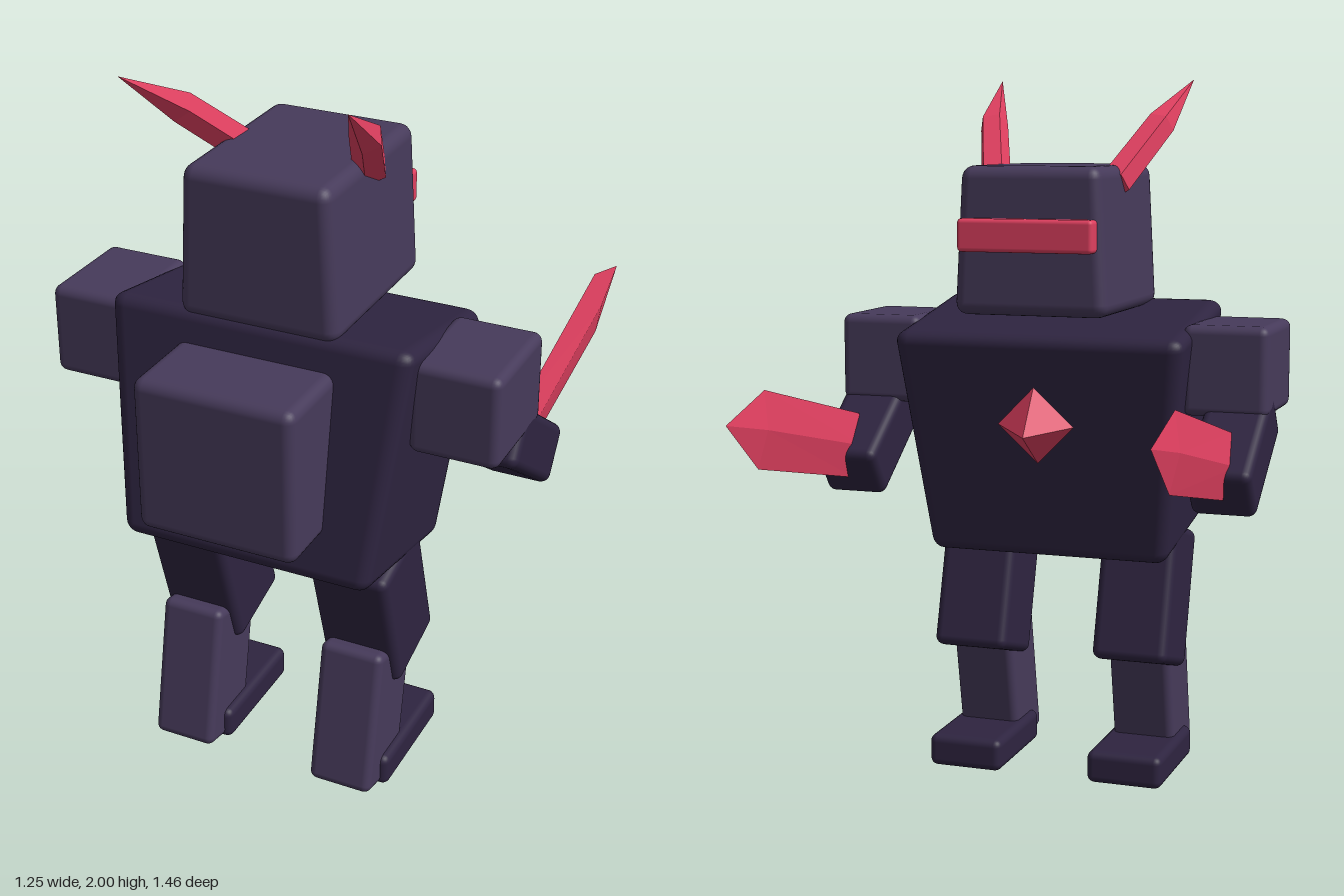
import * as THREE from 'three';
import { RoundedBoxGeometry } from 'three/addons/geometries/RoundedBoxGeometry.js';

const mat = (name, color, flat = false) => {
  const m = new THREE.MeshStandardMaterial({ color, flatShading: flat });
  m.name = name;
  return m;
};

// Rounded box whose width changes from 1 at the bottom to topScale at the top
function taperedBox(w, h, d, r, topScale = 1) {
  const g = new RoundedBoxGeometry(w, h, d, 3, r);
  const p = g.attributes.position, n = g.attributes.normal, v = new THREE.Vector3();
  const slope = (topScale - 1) / h;
  for (let i = 0; i < p.count; i++) {
    const x = p.getX(i), s = 1 + slope * (p.getY(i) + h / 2);
    v.set(n.getX(i) / s, n.getY(i) - n.getX(i) * x * slope / s, n.getZ(i)).normalize();
    p.setX(i, x * s);
    n.setXYZ(i, v.x, v.y, v.z);
  }
  return g;
}

// Faceted skin over rings of points; the last ring may shrink to a tip
function loft(rings, flip) {
  const pos = [], n = rings[0].length;
  const tri = (a, b, c) => (flip ? [a, c, b] : [a, b, c]).forEach(q => pos.push(q.x, q.y, q.z));
  for (let i = 0; i < rings.length - 1; i++) {
    for (let k = 0; k < n; k++) {
      const j = (k + 1) % n, lo = rings[i], hi = rings[i + 1];
      tri(lo[k], lo[j], hi[j]);
      if (hi[k].distanceTo(hi[j]) > 1e-5) tri(lo[k], hi[j], hi[k]);
    }
  }
  for (let k = 1; k < n - 1; k++) tri(rings[0][0], rings[0][k + 1], rings[0][k]);
  const g = new THREE.BufferGeometry();
  g.setAttribute('position', new THREE.Float32BufferAttribute(pos, 3));
  g.computeVertexNormals();
  return g;
}

// Blade with a diamond section: [y, z, half height in y, half height in z, half thickness]
function bladeGeometry(side) {
  const sections = [
    [0.965, 0.05, 0.09, 0.02, 0.02],
    [1.095, -0.537, 0.1, 0.022, 0.02],
    [1.132, -0.727, 0, 0, 0],
  ];
  const rings = sections.map(([y, z, hy, hz, t]) =>
    [[t, 0], [0, -1], [-t, 0], [0, 1]].map(([dx, s]) =>
      new THREE.Vector3(side * (0.545 + dx), y + s * hy, z + s * hz)));
  return loft(rings, side < 0);
}

// Bent horn: [x, y, z, radius]
function hornGeometry(side) {
  const sections = [
    [0.175, 1.71, 0.2, 0.045],
    [0.25, 1.87, 0.39, 0.042],
    [0.295, 2.0, 0.59, 0],
  ];
  const axis = new THREE.Vector3(0.12, 0.29, 0.39).normalize();
  const u = new THREE.Vector3(1, 0, 0).cross(axis).normalize();
  const v = axis.clone().cross(u);
  const rings = sections.map(([x, y, z, r]) =>
    [0, 1, 2, 3, 4].map(k => {
      const a = k * Math.PI * 2 / 5;
      const q = new THREE.Vector3(x, y, z)
        .addScaledVector(u, r * Math.cos(a)).addScaledVector(v, r * Math.sin(a));
      q.x *= side;
      return q;
    }));
  return loft(rings, side < 0);
}

export function createModel() {
  const model = new THREE.Group();
  model.name = 'hornedRobot';
  const dark = mat('darkArmor', 0x2e2440);
  const light = mat('lightArmor', 0x463a5a);
  const red = mat('redGlow', 0xe04060);
  const redFacet = mat('redGlow', 0xe04060, true);
  redFacet.color = red.color;

  const add = (name, geometry, material, x = 0, y = 0, z = 0, tilt = 0) => {
    const m = new THREE.Mesh(geometry, material);
    m.name = name;
    m.position.set(x, y, z);
    m.rotation.x = tilt;
    model.add(m);
    return m;
  };

  // Body and head
  add('torso', taperedBox(0.7, 0.65, 0.48, 0.035, 1.2), dark, 0, 1.018, 0.31, -0.175);
  add('backpack', taperedBox(0.44, 0.425, 0.27, 0.03), light, 0, 1.078, 0.6);
  add('head', taperedBox(0.44, 0.405, 0.515, 0.035, 0.9), light, 0, 1.558, 0.235);
  add('visor', taperedBox(0.385, 0.09, 0.08, 0.012), red, 0, 1.575, -0.022);
  add('chestGem', new THREE.OctahedronGeometry(0.11), redFacet, 0, 1.05, 0.04, -0.175);

  for (const side of [1, -1]) {
    const name = part => (side > 0 ? 'left' : 'right') + part;
    // Arms and weapons
    add(name('Shoulder'), taperedBox(0.24, 0.25, 0.305, 0.025), light, side * 0.507, 1.207, 0.29);
    add(name('Forearm'), taperedBox(0.18, 0.16, 0.35, 0.025), dark, side * 0.537, 0.992, 0.127, -0.61);
    add(name('Blade'), bladeGeometry(side), redFacet);
    // Legs
    add(name('Thigh'), taperedBox(0.22, 0.4, 0.24, 0.025), dark, side * 0.24, 0.535, 0.31, 0.285);
    add(name('Shin'), taperedBox(0.18, 0.41, 0.21, 0.022), light, side * 0.24, 0.222, 0.387, -0.2);
    add(name('Foot'), taperedBox(0.22, 0.093, 0.35, 0.022), dark, side * 0.24, 0.065, 0.275);
    // Horns
    add(name('Horn'), hornGeometry(side), redFacet);
  }
  return model;
}
